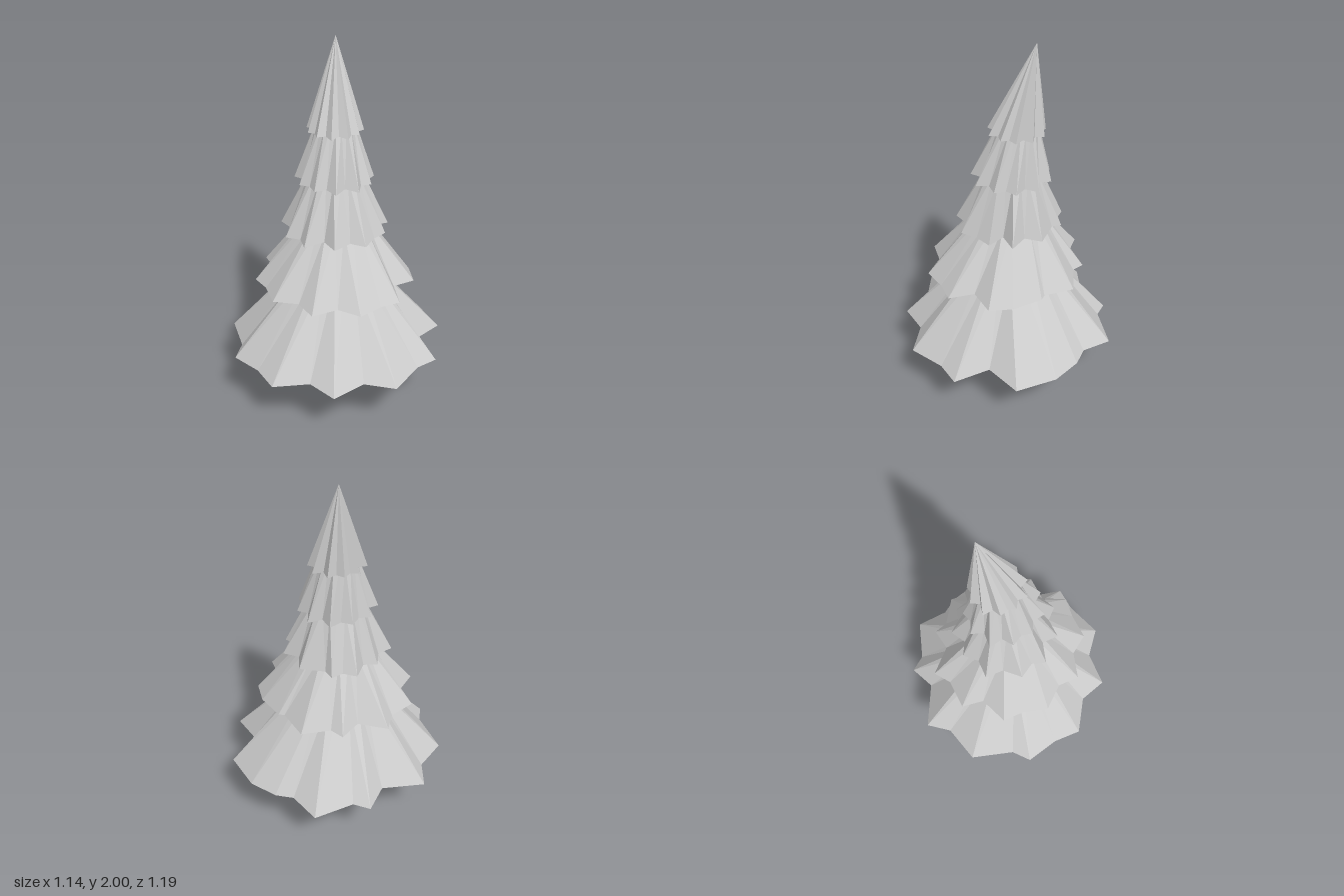
import * as THREE from 'three';

const SIDES = 22; // eleven branch tips with a valley between each pair
const material = new THREE.MeshStandardMaterial({
  color: 0xcccccc, flatShading: true, side: THREE.DoubleSide,
});

// The tree leans more strongly towards its tip
const lean = (y) => {
  const k = (y / 2) ** 4;
  return [0.09 * k, -0.105 * k];
};

// Uneven star outlines of the three wide skirts, as x, z pairs starting at a back tip
const bottomRim = [
  -0.08, -0.595, 0.12, -0.46, 0.265, -0.505, 0.31, -0.42, 0.51, -0.33, 0.495, -0.155,
  0.545, -0.065, 0.57, 0.1, 0.51, 0.32, 0.315, 0.355, 0.26, 0.545, 0.125, 0.54,
  -0.08, 0.595, -0.2, 0.47, -0.385, 0.45, -0.415, 0.29, -0.57, 0.165, -0.55, 0.01,
  -0.57, -0.175, -0.48, -0.24, -0.385, -0.46, -0.18, -0.495,
];
const lowerRim = [
  0.06, -0.435, 0.155, -0.305, 0.275, -0.31, 0.285, -0.235, 0.405, -0.135, 0.365, 0.03,
  0.38, 0.06, 0.35, 0.22, 0.28, 0.33, 0.14, 0.32, 0.07, 0.44, -0.04, 0.415,
  -0.175, 0.41, -0.235, 0.3, -0.365, 0.25, -0.355, 0.13, -0.435, 0.01, -0.385, -0.12,
  -0.37, -0.235, -0.22, -0.28, -0.185, -0.395, -0.03, -0.385,
];
const middleRim = [
  -0.02, -0.28, 0.04, -0.235, 0.125, -0.27, 0.165, -0.205, 0.225, -0.185, 0.215, -0.13,
  0.285, -0.01, 0.22, 0.055, 0.245, 0.15, 0.15, 0.14, 0.15, 0.23, 0.06, 0.245,
  -0.03, 0.28, -0.08, 0.215, -0.18, 0.21, -0.175, 0.12, -0.275, 0.08, -0.245, 0.01,
  -0.28, -0.07, -0.2, -0.14, -0.185, -0.235, -0.09, -0.225,
];

// Regular star outline for the small skirts
function starRim(y, tip, valley, phase) {
  const [cx, cz] = lean(y);
  const rim = [];
  for (let i = 0; i < SIDES; i++) {
    const a = phase + (i / SIDES) * Math.PI * 2;
    const r = (i % 2 ? valley : tip) * (1 + 0.04 * Math.sin(i * 2.3));
    rim.push(cx + r * Math.cos(a), cz + r * Math.sin(a));
  }
  return rim;
}

// Pleated skirt from a star rim up to a round ring (or to a point when topR is 0)
function skirt(name, rim, y, topY, topR) {
  const [bx, bz] = lean(y);
  const [tx, tz] = lean(topY);
  const reach = (i) => Math.hypot(rim[2 * i] - bx, rim[2 * i + 1] - bz);
  let mean = 0;
  for (let i = 0; i < SIDES; i++) mean += reach(i) / SIDES;
  const phase = Math.atan2(rim[1] - bz, rim[0] - bx);

  const pos = [], index = [];
  for (let i = 0; i < SIDES; i++) {
    const a = phase + (i / SIDES) * Math.PI * 2;
    const j = (i + 1) % SIDES;
    // tips droop a little below the valleys
    pos.push(rim[2 * i], y + 0.18 * (mean - reach(i)), rim[2 * i + 1]);
    pos.push(tx + topR * Math.cos(a), topY, tz + topR * Math.sin(a));
    index.push(2 * i, 2 * i + 1, 2 * j);
    if (topR > 0) index.push(2 * j, 2 * i + 1, 2 * j + 1);
  }
  const geo = new THREE.BufferGeometry();
  geo.setAttribute('position', new THREE.Float32BufferAttribute(pos, 3));
  geo.setIndex(index);
  geo.computeVertexNormals();
  const mesh = new THREE.Mesh(geo, material);
  mesh.name = name;
  return mesh;
}

// Square trunk, wider at the foot on its left and back sides only
function trunk() {
  const geo = new THREE.BoxGeometry(1, 0.75, 1).translate(0.5, 0.375, -0.5);
  const p = geo.attributes.position;
  for (let i = 0; i < p.count; i++) {
    const w = p.getY(i) > 0.1 ? 0.02 : 0.095;
    p.setXYZ(i, -0.02 + p.getX(i) * w, p.getY(i), 0.03 + p.getZ(i) * w);
  }
  geo.computeVertexNormals();
  const mesh = new THREE.Mesh(geo, material);
  mesh.name = 'trunk';
  return mesh;
}

export function createModel() {
  const tree = new THREE.Group();
  tree.name = 'firTree';
  tree.add(
    trunk(),
    skirt('bottomBranches', bottomRim, 0.315, 0.77, 0.19),
    skirt('lowerBranches', lowerRim, 0.71, 1.05, 0.165),
    skirt('middleBranches', middleRim, 1.005, 1.32, 0.135),
    skirt('upperBranches', starRim(1.275, 0.21, 0.17, -1.75), 1.275, 1.58, 0.1),
    skirt('topBranches', starRim(1.535, 0.15, 0.12, -1.6), 1.535, 2, 0),
  );
  return tree;
}
